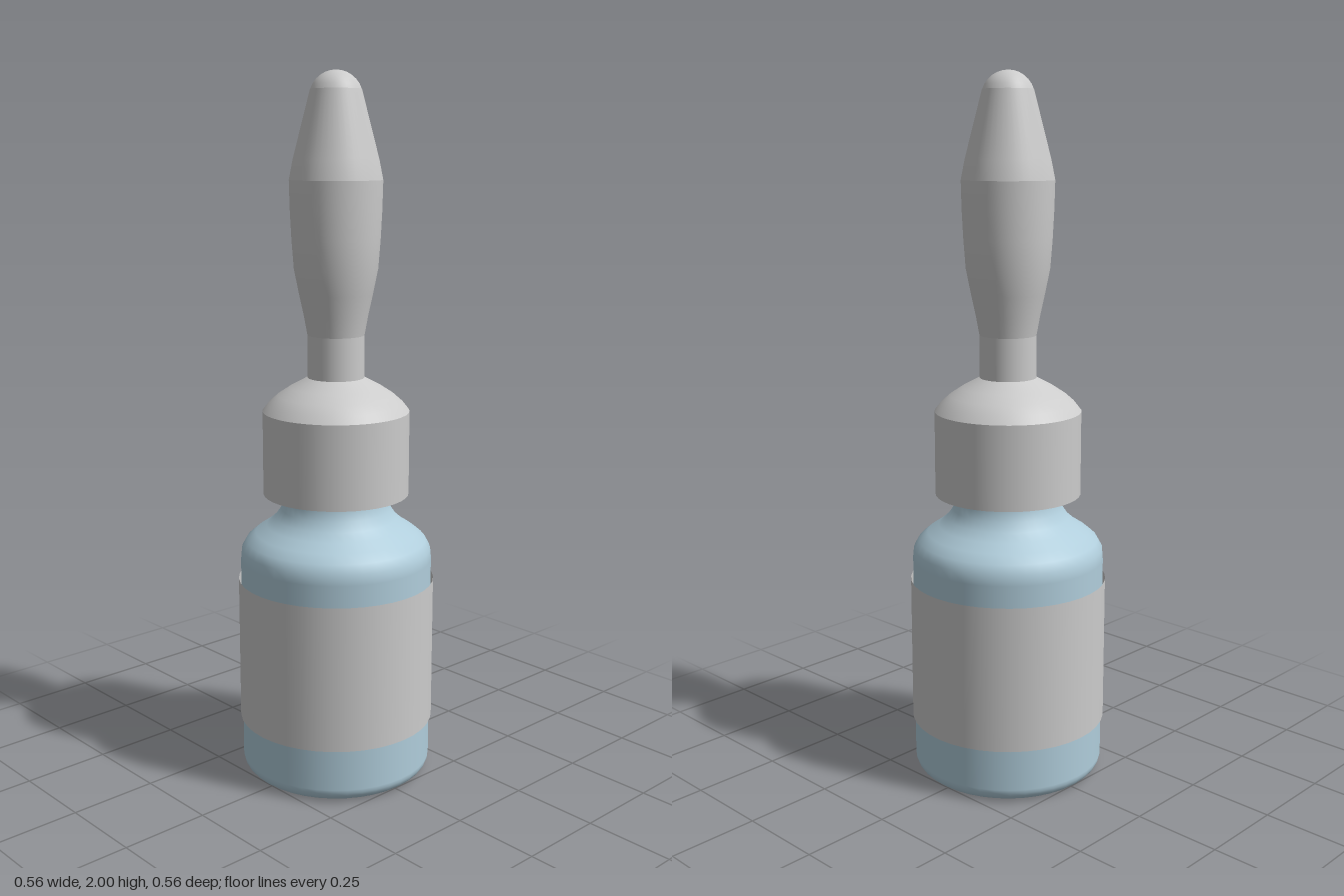
import * as THREE from 'three';

const SEGMENTS = 40;
const grey = new THREE.MeshStandardMaterial({ color: 0xcccccc, side: THREE.DoubleSide });
const glass = new THREE.MeshStandardMaterial({ color: 0xb0cddb, side: THREE.DoubleSide });

// Revolves an outline of [radius, height] points, listed from the bottom up
function turned(name, outline, material) {
  const points = outline.map(([r, y]) => new THREE.Vector2(r, y));
  const mesh = new THREE.Mesh(new THREE.LatheGeometry(points, SEGMENTS), material);
  mesh.name = name;
  return mesh;
}

// Outline points along a quarter ellipse or any other arc, angles in degrees
function arc(cx, cy, rx, ry, from, to, steps = 6) {
  return Array.from({ length: steps + 1 }, (_, i) => {
    const a = THREE.MathUtils.degToRad(from + ((to - from) * i) / steps);
    return [cx + rx * Math.cos(a), cy + ry * Math.sin(a)];
  });
}

export function createModel() {
  const model = new THREE.Group();
  model.name = 'dropperBottle';

  // Glass bottle: flat base, rounded foot, sloping shoulder and a neck inside the cap
  model.add(turned('bottleBase', [[0, 0], [0.235, 0]], glass));
  model.add(turned('bottleBody', [
    ...arc(0.235, 0.04, 0.04, 0.04, -90, 0),
    [0.275, 0.64], [0.272, 0.67], [0.258, 0.695], [0.232, 0.717],
    [0.2, 0.738], [0.175, 0.76], [0.158, 0.785], [0.15, 0.81], [0.148, 0.83],
    [0.148, 0.96],
  ], glass));
  model.add(turned('bottleMouth', [[0.148, 0.96], [0, 0.96]], glass));

  // Label sleeve standing just proud of the glass
  model.add(turned('label', [[0.282, 0.16], [0.282, 0.58]], grey));

  // Screw cap: open skirt and domed top
  model.add(turned('capSkirt', [[0.208, 0.83], [0.208, 1.07]], grey));
  model.add(turned('capTop', [
    [0.208, 1.07], [0.19, 1.093], [0.165, 1.115], [0.13, 1.138], [0.08, 1.165],
  ], grey));

  // Squeeze bulb: straight stem, swelling body, taper and rounded tip
  model.add(turned('bulbStem', [[0.08, 1.15], [0.08, 1.285]], grey));
  model.add(turned('bulbBody', [
    [0.08, 1.285], [0.09, 1.34], [0.103, 1.4], [0.117, 1.47],
    [0.123, 1.55], [0.127, 1.63], [0.129, 1.71],
  ], grey));
  model.add(turned('bulbTaper', [[0.129, 1.71], [0.118, 1.765], [0.07, 1.95]], grey));
  model.add(turned('bulbTip', arc(0, 1.928, 0.073, 0.072, 17, 90), grey));

  return model;
}
